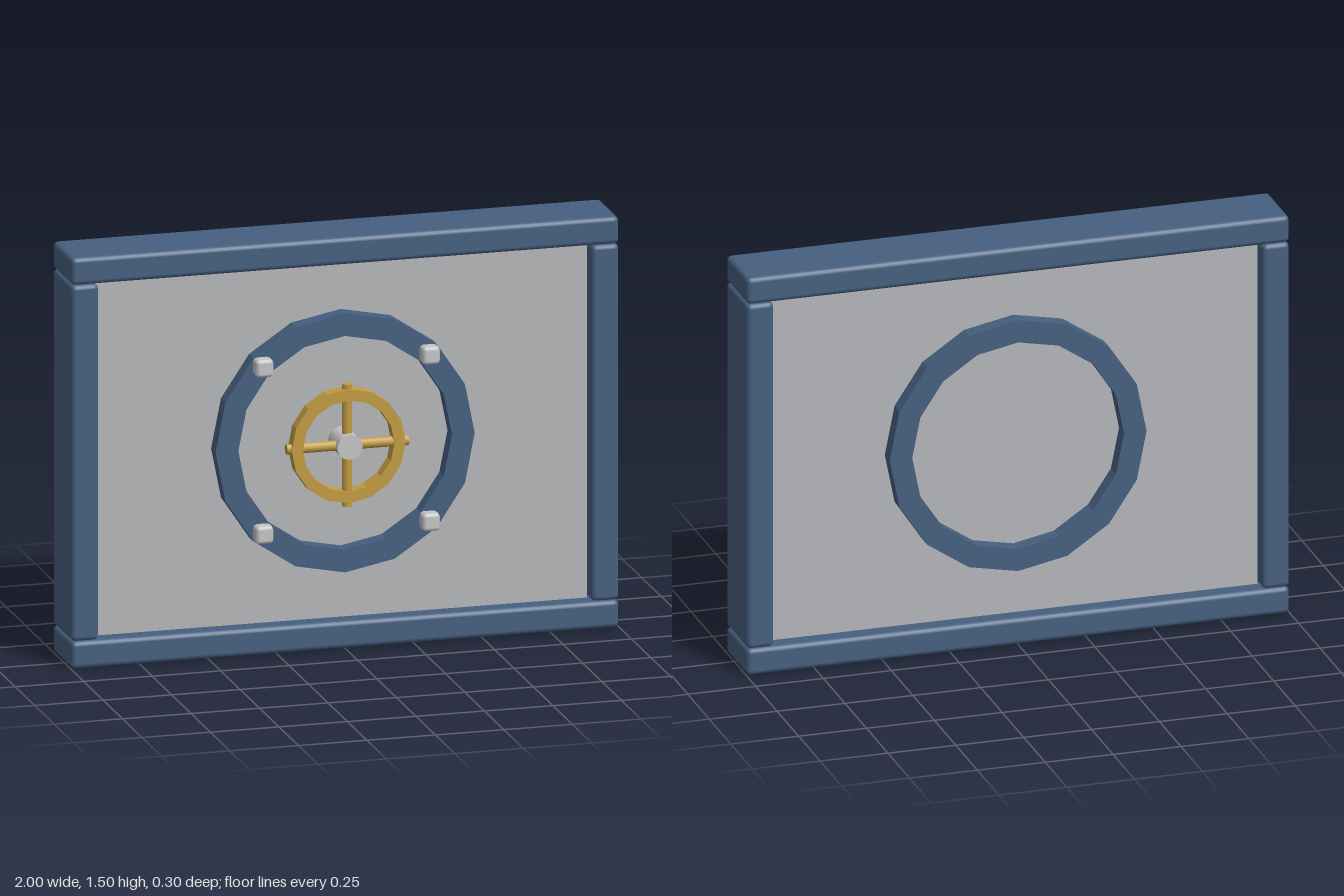
import * as THREE from 'three';
import { RoundedBoxGeometry } from 'three/addons/geometries/RoundedBoxGeometry.js';

const mat = (name, color, flatShading = false) => {
  const m = new THREE.MeshStandardMaterial({ color, flatShading });
  m.name = name;
  return m;
};

// Flat polygonal ring standing in the xy plane, from z0 to z1
function ringGeometry(outer, inner, sides, z0, z1) {
  const corners = (r) => Array.from({ length: sides }, (_, i) => {
    const a = (i / sides) * Math.PI * 2;
    return new THREE.Vector2(Math.cos(a) * r, Math.sin(a) * r);
  });
  const shape = new THREE.Shape(corners(outer));
  shape.holes.push(new THREE.Path(corners(inner)));
  const g = new THREE.ExtrudeGeometry(shape, { depth: z1 - z0, bevelEnabled: false });
  return g.translate(0, 0, z0);
}

export function createModel() {
  const model = new THREE.Group();
  const blue = mat('blue frame', 0x466080);
  const grey = mat('grey panel', 0xb5b7ba);
  const gold = mat('brass', 0xc29c42);
  const steel = mat('light steel', 0xc6c6c6);

  const add = (name, geometry, material, x, y, z, parent = model) => {
    const mesh = new THREE.Mesh(geometry, material);
    mesh.name = name;
    mesh.position.set(x, y, z);
    parent.add(mesh);
    return mesh;
  };

  const midY = 0.75, midZ = -0.028, depth = 0.247;

  // Frame of four rounded bars
  const rail = new RoundedBoxGeometry(2, 0.1, depth, 2, 0.018);
  const post = new RoundedBoxGeometry(0.1, 1.3, depth, 2, 0.018);
  add('bottomRail', rail, blue, 0, 0.05, midZ);
  add('topRail', rail, blue, 0, 1.45, midZ);
  for (const s of [-1, 1]) add(s > 0 ? 'leftPost' : 'rightPost', post, blue, s * 0.95, midY, midZ);

  // Recessed panel
  add('panel', new THREE.BoxGeometry(1.8, 1.3, 0.12), grey, 0, midY, midZ);

  // Large ring, raised on both faces of the panel
  add('portRing', ringGeometry(0.473, 0.39, 16, -0.146, 0.09), blue, 0, midY, 0);

  // Bolts on the diagonals of the ring
  const bolt = new RoundedBoxGeometry(0.065, 0.065, 0.065, 1, 0.014);
  for (const x of [-1, 1]) for (const y of [-1, 1]) {
    add('bolt', bolt, steel, x * 0.304, midY + y * 0.304, 0.103);
  }

  // Handwheel: rim, two crossing spokes and hub
  const wheel = new THREE.Group();
  wheel.name = 'handwheel';
  wheel.position.y = midY;
  model.add(wheel);
  add('wheelRim', ringGeometry(0.208, 0.167, 16, 0.087, 0.136), gold, 0, 0, 0, wheel);
  const spoke = new THREE.CylinderGeometry(0.019, 0.019, 0.445, 8);
  add('verticalSpoke', spoke, gold, 0, 0, 0.114, wheel);
  add('horizontalSpoke', spoke, gold, 0, 0, 0.114, wheel).rotation.z = Math.PI / 2;
  const hub = new THREE.CylinderGeometry(0.046, 0.046, 0.132, 12).rotateX(Math.PI / 2);
  add('hub', hub, steel, 0, 0, 0.086, wheel);

  return model;
}
